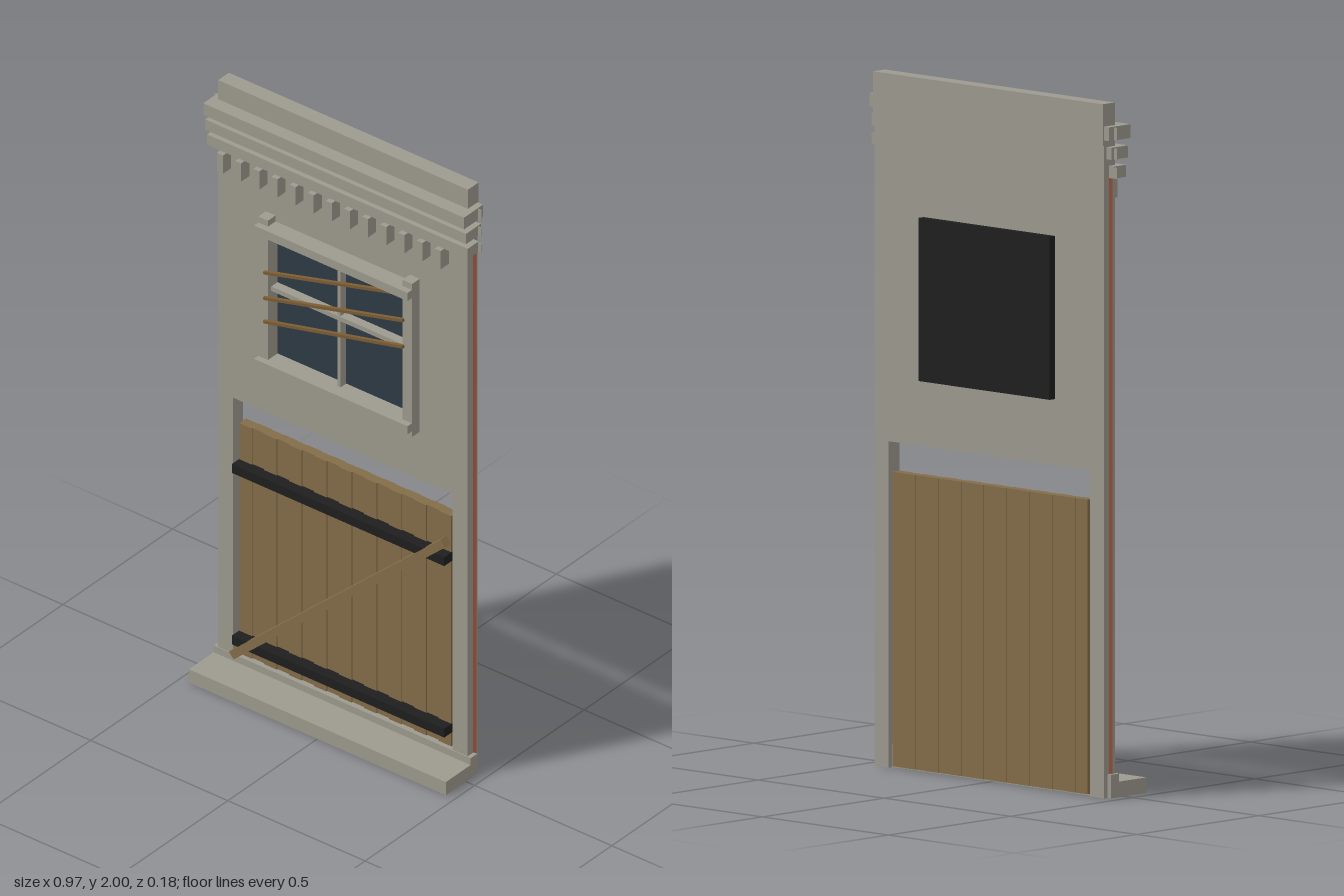
import * as THREE from 'three';

const mat = (name, hex) => {
  const m = new THREE.MeshStandardMaterial({ color: hex });
  m.name = name;
  return m;
};

export function createModel() {
  const root = new THREE.Group();
  root.name = 'buildingFacade';

  const stone = mat('stone', 0x9d9a8e);
  const wood = mat('weatheredWood', 0x846d49);
  const iron = mat('blackIron', 0x1f1f20);
  const glass = mat('darkGlass', 0x2d3a45);
  const brick = mat('brick', 0x8c4b38);
  brick.side = THREE.DoubleSide;
  const lath = mat('lathWood', 0x7b5c33);

  // Box given by its extents on each axis
  const box = (name, m, x0, x1, y0, y1, z0, z1, parent = root) => {
    const mesh = new THREE.Mesh(new THREE.BoxGeometry(x1 - x0, y1 - y0, z1 - z0), m);
    mesh.position.set((x0 + x1) / 2, (y0 + y1) / 2, (z0 + z1) / 2);
    mesh.name = name;
    parent.add(mesh);
    return mesh;
  };
  // Slanted bar between two points in the facade plane
  const bar = (name, m, ax, ay, bx, by, width, z0, z1, parent = root) => {
    const half = Math.hypot(bx - ax, by - ay) / 2;
    const mesh = box(name, m, -half, half, -width / 2, width / 2, z0, z1, parent);
    mesh.position.set((ax + bx) / 2, (ay + by) / 2, (z0 + z1) / 2);
    mesh.rotation.z = Math.atan2(by - ay, bx - ax);
  };
  const group = (name) => {
    const g = new THREE.Group();
    g.name = name;
    root.add(g);
    return g;
  };

  // Wall with a doorway notch and a window hole
  const outline = new THREE.Shape([
    [-0.455, 0], [-0.4, 0], [-0.4, 0.94], [0.4, 0.94],
    [0.4, 0], [0.455, 0], [0.455, 1.88], [-0.455, 1.88],
  ].map(([x, y]) => new THREE.Vector2(x, y)));
  outline.holes.push(new THREE.Path([
    [-0.245, 1.15], [-0.245, 1.58], [0.245, 1.58], [0.245, 1.15],
  ].map(([x, y]) => new THREE.Vector2(x, y))));
  const wall = new THREE.Mesh(
    new THREE.ExtrudeGeometry(outline, { depth: 0.045, bevelEnabled: false }), stone);
  wall.position.z = -0.07;
  wall.name = 'wall';
  root.add(wall);
  box('parapet', stone, -0.455, 0.455, 1.88, 2, -0.075, -0.026);

  // Cornice ledges with thin end tabs
  const cornice = group('cornice');
  [[1.895, 1.935, -0.07, 0.017], [1.84, 1.875, -0.06, 0.008], [1.785, 1.82, -0.05, 0]]
    .forEach(([y0, y1, z0, z1]) => {
      box('ledge', stone, -0.475, 0.475, y0, y1, z0, z1, cornice);
      box('ledgeTab', stone, -0.487, 0.487, y0, y1 - 0.003, -0.0495, -0.0475, cornice);
    });
  for (let i = 0; i < 13; i++) {
    const x = -0.418 + i * 0.0661;
    box('dentil', stone, x - 0.011, x + 0.011, 1.72, 1.782, -0.026, 0.012, cornice);
  }

  // Brick strips along both sides
  for (const s of [-1, 1]) {
    const strip = new THREE.Mesh(new THREE.PlaneGeometry(0.018, 1.715), brick);
    strip.position.set(s * 0.459, 0.9275, -0.049);
    strip.name = 'brickEdge';
    root.add(strip);
  }

  // Window
  const win = group('window');
  box('glassPane', glass, -0.245, 0.245, 1.15, 1.58, -0.04, -0.034, win);
  for (const s of [-1, 1]) {
    const x = s * 0.2625;
    box('windowJamb', stone, x - 0.0175, x + 0.0175, 1.103, 1.625, -0.026, 0.01, win);
  }
  box('windowHead', stone, -0.28, 0.28, 1.577, 1.605, -0.026, 0.03, win);
  box('windowSill', stone, -0.28, 0.28, 1.123, 1.15, -0.026, 0.03, win);
  box('meetingRail', stone, -0.245, 0.245, 1.378, 1.393, -0.036, -0.005, win);
  box('mullion', stone, -0.005, 0.005, 1.15, 1.577, -0.036, -0.008, win);
  [[1.447, 1.583], [1.36, 1.492], [1.28, 1.402]].forEach(([a, b]) =>
    bar('windowLath', lath, -0.255, a, 0.252, b, 0.009, 0.008, 0.019, win));
  box('windowBacking', iron, -0.26, 0.26, 1.13, 1.6, -0.091, -0.0695, win);

  // Plank door, alternate boards set slightly back
  const door = group('door');
  const pitch = 0.772 / 17;
  for (let i = 0; i < 17; i++) {
    const x = -0.386 + i * pitch;
    const back = (i % 2) * 0.004;
    box('plank', wood, x, x + pitch, 0.005, 0.853, -0.067 - back / 2, -0.056 + 0.02 - back, door);
  }
  for (const y of [0.115, 0.7]) {
    box('doorBand', iron, -0.387, 0.387, y, y + 0.03, -0.045, -0.003, door);
  }
  bar('doorBrace', wood, -0.385, 0.08, 0.385, 0.778, 0.026, -0.026, 0.002, door);

  // Doorstep
  box('doorstep', stone, -0.468, 0.468, 0, 0.045, -0.055, 0.091);
  box('threshold', stone, -0.468, 0.468, 0.045, 0.068, -0.055, -0.022);

  return root;
}
